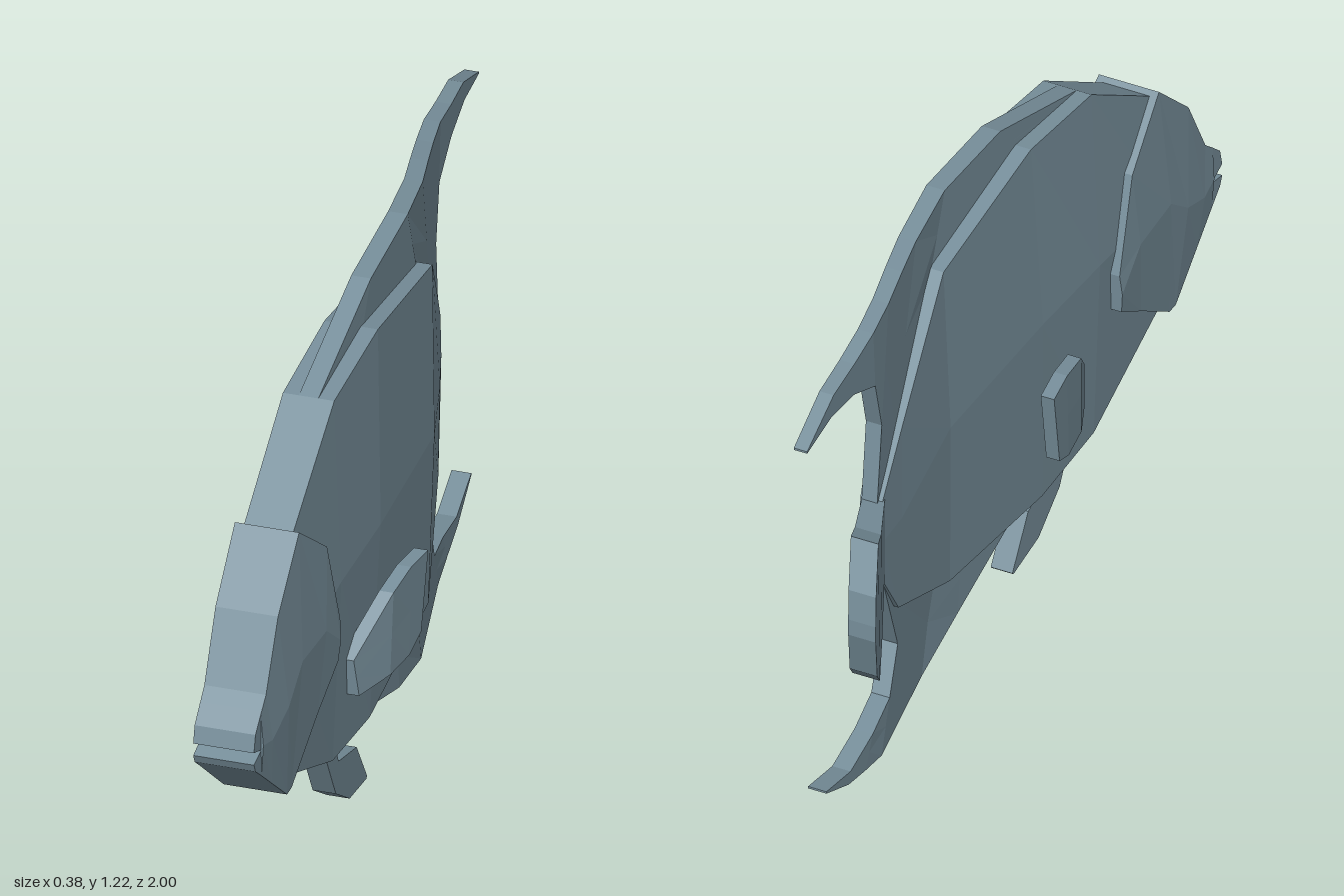
import * as THREE from 'three';

const slate = new THREE.MeshStandardMaterial({ color: 0x78909c });
slate.name = 'slate blue';

// Piecewise-linear curve through [z, value] points listed from front to back
function curve(points) {
  return z => {
    if (z >= points[0][0]) return points[0][1];
    for (let i = 1; i < points.length; i++) {
      const [z0, v0] = points[i - 1], [z1, v1] = points[i];
      if (z >= z1) return v0 + (v1 - v0) * (z - z0) / (z1 - z0);
    }
    return points[points.length - 1][1];
  };
}

// Faceted slab: each station is [upper z, upper y, lower z, lower y], front to back.
// centre, edge and middle give the sideways bend and half thicknesses along z.
function slab(name, stations, centre, edge, middle = edge) {
  const pos = [], index = [], n = 6;
  for (const [tz, ty, bz, by] of stations) {
    const mz = (tz + bz) / 2, my = (ty + by) / 2;
    const right = [[tz, ty, edge], [mz, my, middle], [bz, by, edge]];
    for (const [z, y, half] of right) pos.push(centre(z) + half(z), y, z);
    for (const [z, y, half] of right.reverse()) pos.push(centre(z) - half(z), y, z);
  }
  for (let s = 0; s < stations.length - 1; s++) {
    for (let k = 0; k < n; k++) {
      const a = s * n + k, b = s * n + (k + 1) % n;
      index.push(a, b, b + n, a, b + n, a + n);
    }
  }
  const last = (stations.length - 1) * n;
  for (let k = 1; k < n - 1; k++) {
    index.push(0, k + 1, k, last, last + k, last + k + 1);
  }
  const indexed = new THREE.BufferGeometry();
  indexed.setAttribute('position', new THREE.Float32BufferAttribute(pos, 3));
  indexed.setIndex(index);
  const geometry = indexed.toNonIndexed();
  geometry.computeVertexNormals();
  const mesh = new THREE.Mesh(geometry, slate);
  mesh.name = name;
  return mesh;
}

export function createModel() {
  const group = new THREE.Group();
  group.name = 'fish';
  const flat = value => () => value;

  // Swimming bend of the spine
  const spine = curve([[1, 0.015], [0.5, 0.022], [0.15, 0.037], [-0.25, 0.04], [-0.62, -0.028], [-1, -0.05]]);

  // Deep, flat-sided body
  group.add(slab('body', [
    [0.69, 0.93, 0.74, 0.35], [0.42, 1.105, 0.43, 0.21], [0.15, 1.13, 0.2, 0.188],
    [-0.25, 1.06, -0.22, 0.23], [-0.5, 0.82, -0.52, 0.36], [-0.62, 0.7, -0.62, 0.5],
  ], spine, curve([[0.7, 0.055], [0.15, 0.06], [-0.25, 0.055], [-0.62, 0.026]]),
  curve([[0.7, 0.075], [0.15, 0.075], [-0.25, 0.064], [-0.62, 0.028]])));

  // Head plate overlapping the body, with two separate lips
  const headEdge = curve([[1, 0.068], [0.7, 0.072], [0.48, 0.092]]);
  const headMiddle = curve([[1, 0.07], [0.8, 0.086], [0.48, 0.096]]);
  group.add(slab('head', [
    [0.955, 0.63, 0.95, 0.475], [0.92, 0.66, 0.88, 0.415], [0.84, 0.81, 0.78, 0.33],
    [0.7, 0.94, 0.75, 0.33], [0.55, 0.82, 0.6, 0.43], [0.48, 0.6, 0.49, 0.5],
  ], spine, headEdge, headMiddle));
  group.add(slab('upperLip', [[0.99, 0.6, 1, 0.56], [0.95, 0.635, 0.95, 0.54]], spine, headEdge));
  group.add(slab('lowerLip', [[1, 0.53, 0.99, 0.508], [0.95, 0.54, 0.95, 0.475]], spine, headEdge));

  // Sweeping fins above and below
  group.add(slab('dorsalFin', [
    [0.42, 1.105, 0.42, 1.08], [0.08, 1.21, 0.15, 1.1], [-0.18, 1.22, -0.25, 1.03],
    [-0.35, 1.2, -0.5, 0.81], [-0.45, 1.19, -0.63, 0.7], [-0.55, 1.175, -0.6, 0.89],
    [-0.65, 1.165, -0.64, 1.02], [-0.75, 1.15, -0.75, 1.07], [-0.86, 1.14, -0.87, 1.09],
    [-1, 1.083, -1, 1.078],
  ], spine, curve([[-0.2, 0.022], [-1, 0.016]])));
  group.add(slab('analFin', [
    [0.2, 0.2, 0.2, 0.18], [-0.1, 0.24, -0.12, 0.07], [-0.22, 0.25, -0.31, 0.03],
    [-0.5, 0.36, -0.34, 0.03], [-0.61, 0.5, -0.38, 0.03], [-0.49, 0.24, -0.48, 0.03],
    [-0.55, 0.14, -0.61, 0.03], [-0.66, 0.12, -0.7, 0.05], [-0.78, 0.1, -0.79, 0.072],
    [-0.91, 0.132, -0.91, 0.127],
  ], spine, flat(0.022)));

  // Tail swung to one side
  group.add(slab('tailFin', [
    [-0.6, 0.7, -0.6, 0.51], [-0.63, 0.705, -0.63, 0.5], [-0.76, 0.73, -0.72, 0.42],
    [-0.85, 0.775, -0.81, 0.385], [-0.91, 0.68, -0.88, 0.45], [-0.92, 0.61, -0.92, 0.57],
  ], curve([[-0.6, -0.025], [-0.92, -0.157]]), curve([[-0.6, 0.026], [-0.8, 0.033]])));

  // Single pelvic fin under the belly
  group.add(slab('pelvicFin', [
    [0.38, 0.23, 0.44, 0.215], [0.35, 0.16, 0.37, 0.09], [0.22, 0.12, 0.27, 0.02],
    [0.145, 0.005, 0.15, 0],
  ], flat(0.045), flat(0.026)));

  // Pectoral fins flaring outward on both sides
  const flare = curve([[0.38, 0.055], [0.34, 0.075], [0.25, 0.112], [0.07, 0.136]]);
  for (const [name, side] of [['leftPectoralFin', 1], ['rightPectoralFin', -1]]) {
    group.add(slab(name, [
      [0.37, 0.43, 0.355, 0.335], [0.25, 0.54, 0.26, 0.34],
      [0.16, 0.555, 0.17, 0.34], [0.075, 0.55, 0.11, 0.365],
    ], z => 0.035 + side * flare(z), flat(0.016)));
  }
  return group;
}
